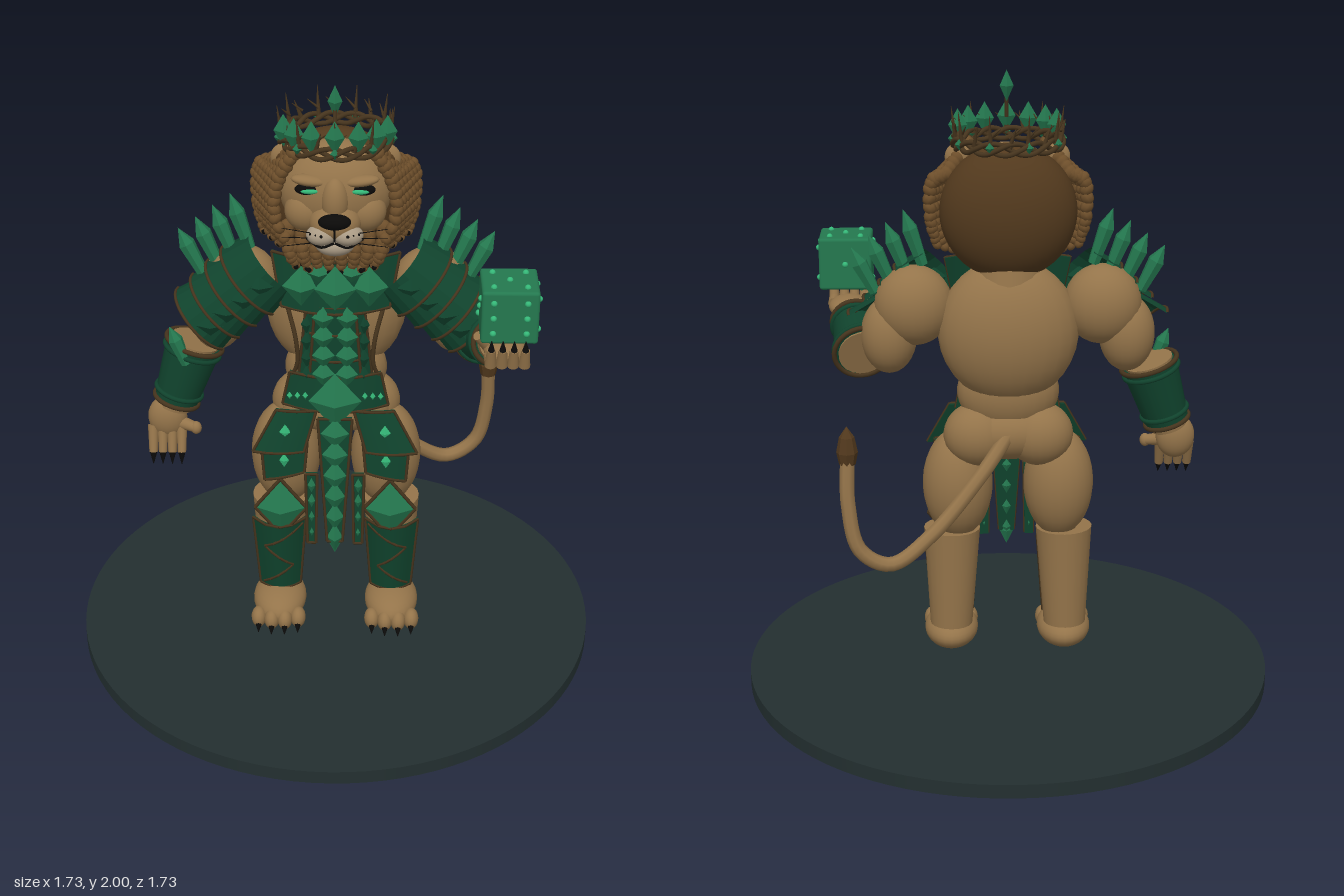
import * as THREE from 'three';
import { mergeGeometries } from 'three/addons/utils/BufferGeometryUtils.js';
import { RoundedBoxGeometry } from 'three/addons/geometries/RoundedBoxGeometry.js';

const V = (x, y, z) => new THREE.Vector3(x, y, z);
const UP = V(0, 1, 0);

export function createModel() {
  const model = new THREE.Group();
  model.name = 'armouredLion';
  const paint = (name, hex, side = THREE.FrontSide) => {
    const m = new THREE.MeshStandardMaterial({ color: hex, side });
    m.name = name;
    return m;
  };
  const fur = paint('tawnyFur', 0x94744a), mane = paint('maneBrown', 0x52391d), braid = paint('braidBrown', 0x6e4f2b);
  const green = paint('armourGreen', 0x10432d, THREE.DoubleSide), crystal = paint('crystalGreen', 0x24784f);
  const bronze = paint('bronze', 0x46341d), black = paint('black', 0x0b0a09), cream = paint('cream', 0xa99a84);
  const stone = paint('slate', 0x232f30), glow = paint('eyeGreen', 0x35b878);

  // ---- helpers ----
  const add = (name, geo, mat, parent = model) => {
    const m = new THREE.Mesh(geo, mat);
    m.name = name;
    parent.add(m);
    return m;
  };
  const flat = (g) => { const n = g.index ? g.toNonIndexed() : g; n.computeVertexNormals(); return n; };
  const along = (geo, a, b) => geo.applyQuaternion(new THREE.Quaternion().setFromUnitVectors(UP, b.clone().sub(a).normalize()));
  const ball = (name, mat, c, r, parent, seg = 24) => {
    const m = add(name, new THREE.SphereGeometry(1, seg, Math.ceil(seg * 0.7)), mat, parent);
    m.position.set(...c);
    m.scale.set(...r);
    return m;
  };
  const rodGeo = (a, b, ra, rb = ra, seg = 6) =>
    along(new THREE.CylinderGeometry(rb, ra, a.distanceTo(b), seg), a, b).translate((a.x + b.x) / 2, (a.y + b.y) / 2, (a.z + b.z) / 2);
  const rod = (name, mat, a, b, ra, rb, parent, seg = 20) => add(name, rodGeo(a, b, ra, rb, seg), mat, parent);
  const gem = (name, c, r, parent, mat = crystal) => {
    const m = add(name, new THREE.OctahedronGeometry(1), mat, parent);
    m.position.set(...c);
    m.scale.set(...r);
    return m;
  };
  const shard = (name, a, b, w, parent) => {
    const L = a.distanceTo(b);
    const pts = [[0, 0], [w * 0.7, 0], [w, L * 0.65], [0, L]].map((p) => new THREE.Vector2(...p));
    add(name, along(flat(new THREE.LatheGeometry(pts, 6)), a, b).translate(a.x, a.y, a.z), crystal, parent);
  };
  const tube = (name, mat, pts, r, parent, closed = false, seg = 48) =>
    add(name, new THREE.TubeGeometry(new THREE.CatmullRomCurve3(pts, closed), seg, r, 8, closed), mat, parent);
  // Bent plate with corners TL, TR, BR, BL, a bronze rim and inlaid lines given in uv
  const panel = (name, [tl, tr, br, bl], zTop, zBot, bend, parent, inlays = []) => {
    const L = THREE.MathUtils.lerp;
    const map = (u, v, dz) => {
      const x = L(L(bl[0], br[0], u), L(tl[0], tr[0], u), v), mid = (L(bl[0], tl[0], v) + L(br[0], tr[0], v)) / 2;
      return V(x, L(L(bl[1], br[1], u), L(tl[1], tr[1], u), v), L(zBot, zTop, v) + dz - bend * (x - mid) ** 2);
    };
    const g = new THREE.BoxGeometry(1, 1, 1, 8, 1, 1), p = g.attributes.position;
    for (let i = 0; i < p.count; i++) {
      const q = map(p.getX(i) + 0.5, p.getY(i) + 0.5, p.getZ(i) * 0.014);
      p.setXYZ(i, q.x, q.y, q.z);
    }
    g.computeVertexNormals();
    add(name, g, green, parent);
    const rods = [];
    for (const line of [[[0, 0], [1, 0], [1, 1], [0, 1], [0, 0]], ...inlays])
      for (let i = 1; i < line.length; i++)
        for (let k = 0; k < 4; k++) {
          const at = (t) => map(L(line[i - 1][0], line[i][0], t), L(line[i - 1][1], line[i][1], t), 0.007);
          rods.push(rodGeo(at(k / 4), at((k + 1) / 4), 0.005, 0.005, 5));
        }
    add(name + 'Trim', mergeGeometries(rods), bronze, parent);
  };
  const both = (name, build) => [1, -1].forEach((s) => {
    const g = new THREE.Group();
    g.name = (s > 0 ? 'left' : 'right') + name;
    g.scale.x = s;
    model.add(g);
    build(g);
  });

  // ---- base and body ----
  add('base', new THREE.CylinderGeometry(0.865, 0.865, 0.045, 96), stone).position.y = 0.0225;
  ball('chest', fur, [0, 1.2, -0.04], [0.225, 0.235, 0.14]);
  ball('waist', fur, [0, 0.99, -0.01], [0.165, 0.14, 0.105]);
  ball('pelvis', fur, [0, 0.86, -0.01], [0.19, 0.1, 0.115]);
  rod('neck', fur, V(0, 1.35, -0.02), V(0, 1.5, 0), 0.12, 0.11);

  // ---- legs with greaves ----
  both('Leg', (g) => {
    ball('buttock', fur, [0.1, 0.85, -0.035], [0.11, 0.105, 0.095], g);
    ball('thigh', fur, [0.165, 0.67, 0], [0.115, 0.185, 0.113], g);
    rod('shin', fur, V(0.19, 0.17, 0), V(0.185, 0.51, 0.01), 0.07, 0.093, g);
    ball('foot', fur, [0.19, 0.125, 0.065], [0.09, 0.062, 0.13], g);
    for (let i = 0; i < 4; i++) {
      const x = 0.125 + i * 0.044, z = 0.165 + (i % 3 ? 0.012 : 0);
      ball('toe', fur, [x, 0.11, z], [0.026, 0.036, 0.036], g, 14);
      rod('claw', black, V(x, 0.1, z + 0.025), V(x, 0.08, z + 0.05), 0.012, 0.001, g, 8);
    }
    panel('greave', [[0.1, 0.45], [0.275, 0.45], [0.255, 0.18], [0.12, 0.18]], 0.125, 0.09, 8, g,
      [[[0.05, 0.95], [0.8, 0.65], [0.2, 0.35], [0.9, 0.05]]]);
    gem('kneeGem', [0.18, 0.52, 0.115], [0.085, 0.105, 0.045], g);
    for (const [a, b] of [[[0.095, 0.52], [0.18, 0.63]], [[0.18, 0.63], [0.265, 0.52]], [[0.265, 0.52], [0.18, 0.41]], [[0.18, 0.41], [0.095, 0.52]]])
      rod('kneeRim', bronze, V(...a, 0.115), V(...b, 0.115), 0.006, 0.006, g, 6);
    // hip plates
    panel('lowerTasset', [[0.09, 0.78], [0.24, 0.78], [0.23, 0.64], [0.1, 0.67]], 0.13, 0.135, 2, g);
    panel('upperTasset', [[0.06, 0.9], [0.19, 0.9], [0.265, 0.76], [0.1, 0.76]], 0.13, 0.16, 2, g);
    gem('tassetInlay', [0.16, 0.83, 0.15], [0.02, 0.03, 0.008], g, glow);
    gem('tassetInlay', [0.165, 0.72, 0.142], [0.016, 0.026, 0.008], g, glow);
    panel('sideStrip', [[0.057, 0.68], [0.095, 0.68], [0.09, 0.42], [0.062, 0.42]], 0.155, 0.165, 0, g);
    for (let i = 0; i < 4; i++) gem('stripStud', [0.076, 0.64 - i * 0.06, 0.165], [0.013, 0.028, 0.012], g);
  });

  // ---- breastplate, belt and tabard ----
  panel('breastplate', [[-0.2, 1.42], [0.2, 1.42], [0.17, 1.25], [-0.17, 1.25]], 0.11, 0.13, 2, model);
  panel('abdomenPlate', [[-0.09, 1.27], [0.09, 1.27], [0.12, 0.98], [-0.12, 0.98]], 0.125, 0.115, 3, model,
    [[[0.15, 0.95], [0.15, 0.05]], [[0.85, 0.95], [0.85, 0.05]], [[0.1, 0.33], [0.9, 0.33]], [[0.1, 0.66], [0.9, 0.66]]]);
  panel('belt', [[-0.145, 1.02], [0.145, 1.02], [0.17, 0.9], [-0.17, 0.9]], 0.125, 0.135, 2, model);
  gem('chestGem', [0, 1.335, 0.13], [0.065, 0.08, 0.045]);
  gem('beltGem', [0, 0.945, 0.145], [0.085, 0.1, 0.045]);
  both('TorsoArmour', (g) => {
    gem('breastGem', [0.105, 1.335, 0.11], [0.06, 0.07, 0.045], g);
    gem('cornerGem', [0.05, 1.385, 0.115], [0.04, 0.035, 0.03], g);
    for (let i = 0; i < 4; i++) {
      gem('abdomenFacet', [0.037, 1.235 - i * 0.067, 0.128], [0.036, 0.045, 0.03], g);
      gem('ribFacet', [0.09, 1.2 - i * 0.06, 0.105], [0.018, 0.036, 0.015], g, green);
    }
    for (let i = 0; i < 3; i++) gem('beltStud', [0.095 + i * 0.025, 0.955, 0.128], [0.009, 0.014, 0.015], g, glow);
    tube('harness', bronze, [V(0.15, 1.25, 0.08), V(0.125, 1.15, 0.105), V(0.12, 1.06, 0.1), V(0.14, 1, 0.085)], 0.007, g, false, 12);
  });
  panel('tabard', [[-0.055, 0.88], [0.055, 0.88], [0.025, 0.43], [-0.025, 0.43]], 0.14, 0.17, 0, model);
  for (let i = 0; i < 6; i++) gem('tabardGem', [0, 0.83 - i * 0.077, 0.155 + i * 0.004], [0.046 - i * 0.004, 0.055, 0.028]);
  gem('tabardTip', [0, 0.43, 0.17], [0.024, 0.05, 0.018]);

  // ---- shoulders with layered plates and crystals ----
  both('Shoulder', (g) => {
    ball('deltoid', fur, [0.3, 1.28, -0.02], [0.125, 0.13, 0.1], g);
    ball('upperArm', fur, [0.38, 1.18, -0.01], [0.09, 0.125, 0.09], g);
    const dir = V(0.75, -0.66, 0).normalize();
    for (let i = 0; i < 4; i++) {
      const c = V(0.235 + i * 0.052, 1.335 - i * 0.046, 0), r = 0.122 - i * 0.004;
      const arc = (h, rt, rb) => along(new THREE.CylinderGeometry(rt, rb, h, 10, 1, true, -1.9, 2.9), V(0, 0, 0), dir);
      add('pauldronPlate', flat(arc(0.1, r + 0.012, r - 0.008)).translate(c.x, c.y, c.z), green, g);
      const e = c.clone().addScaledVector(dir, 0.05);
      const rim = Array.from({ length: 11 }, (_, k) => {
        const t = -1.9 + k * 0.29, q = Math.sin(t) * (r + 0.012);
        return V(e.x - q * 0.66, e.y - q * 0.75, Math.cos(t) * (r + 0.012));
      });
      tube('pauldronRim', bronze, rim, 0.005, g, false, 20);
      gem('pauldronFacet', [c.x, c.y, 0.118], [0.045, 0.035, 0.02], g, green);
    }
    for (let i = 0; i < 4; i++)
      shard('shoulderCrystal', V(0.27 + i * 0.05, 1.41 - i * 0.03, -0.01), V(0.33 + i * 0.055, 1.59 - i * 0.04, -0.02), 0.027, g);
  });

  // ---- forearms ----
  const vambrace = (name, a, b) => {
    const g = new THREE.Group();
    g.name = name;
    model.add(g);
    const d = b.clone().sub(a);
    rod('forearm', fur, a.clone().addScaledVector(d, -0.04), b.clone().addScaledVector(d, 0.12), 0.08, 0.058, g);
    rod('cuff', green, a, b, 0.092, 0.072, g, 16);
    for (const t of [0, 0.12, 0.85, 1]) {
      const ring = along(new THREE.TorusGeometry(0.093 - t * 0.02, 0.008, 8, 28).rotateX(Math.PI / 2), a, b);
      const p = a.clone().addScaledVector(d, t);
      add('cuffRing', ring.translate(p.x, p.y, p.z), t % 1 ? green : bronze, g);
    }
  };
  vambrace('rightVambrace', V(-0.455, 1.075, 0), V(-0.52, 0.875, 0.015));
  vambrace('leftVambrace', V(0.465, 1.12, 0), V(0.5, 1.18, 0.17));
  shard('cuffCrystal', V(-0.475, 1.04, 0.08), V(-0.525, 1.17, 0.075), 0.024);

  // ---- hands and the cube ----
  ball('rightPalm', fur, [-0.55, 0.815, 0.03], [0.064, 0.075, 0.045]);
  rod('rightThumb', fur, V(-0.51, 0.8, 0.04), V(-0.455, 0.79, 0.06), 0.022, 0.017);
  ball('rightThumbTip', fur, [-0.455, 0.79, 0.06], [0.018, 0.022, 0.018]);
  ball('leftPalm', fur, [0.52, 1.205, 0.25], [0.066, 0.035, 0.09]);
  rod('leftThumb', fur, V(0.47, 1.21, 0.25), V(0.435, 1.26, 0.28), 0.02, 0.015);
  for (let i = 0; i < 4; i++) {
    const x = -0.597 + i * 0.031, k = 0.472 + i * 0.034;
    rod('rightFinger', fur, V(x, 0.79, 0.045), V(x, 0.705, 0.075), 0.018, 0.014, model, 12);
    rod('rightClaw', black, V(x, 0.708, 0.075), V(x, 0.668, 0.09), 0.013, 0.001, model, 8);
    rod('leftFinger', fur, V(k, 1.2, 0.3), V(k, 1.205, 0.355), 0.018, 0.017, model, 12);
    rod('leftFingerTip', fur, V(k, 1.2, 0.355), V(k, 1.26, 0.372), 0.018, 0.013, model, 12);
    rod('leftClaw', black, V(k, 1.255, 0.372), V(k, 1.29, 0.37), 0.012, 0.001, model, 8);
  }
  const cube = new THREE.Group();
  cube.name = 'crystalCube';
  cube.position.set(0.525, 1.36, 0.275);
  model.add(cube);
  add('cubeBody', new RoundedBoxGeometry(0.172, 0.172, 0.172, 3, 0.01), crystal, cube);
  const spots = { 1: [[0, 0]], 2: [[-1, -1], [1, 1]], 4: [[-1, -1], [1, 1], [-1, 1], [1, -1]] };
  spots[5] = [...spots[4], ...spots[1]];
  spots[3] = [...spots[2], ...spots[1]];
  spots[6] = [...spots[4], [-1, 0], [1, 0]];
  const faces = [[6, (a, b) => [a, b, 0.086]], [1, (a, b) => [a, b, -0.086]], [4, (a, b) => [0.086, a, b]],
    [3, (a, b) => [-0.086, a, b]], [5, (a, b) => [a, 0.086, b]], [2, (a, b) => [a, -0.086, b]]];
  for (const [n, at] of faces) for (const [a, b] of spots[n]) ball('stud', glow, at(a * 0.05, b * 0.05), [0.01, 0.01, 0.01], cube, 10);

  // ---- tail ----
  tube('tail', fur, [V(0, 0.87, -0.1), V(0.1, 0.74, -0.16), V(0.25, 0.575, -0.22), V(0.38, 0.495, -0.265),
    V(0.475, 0.55, -0.28), V(0.51, 0.7, -0.27), V(0.51, 0.86, -0.25)], 0.024);
  const tuft = [[0, 0], [0.026, 0], [0.034, 0.04], [0.024, 0.09], [0, 0.125]].map((p) => new THREE.Vector2(...p));
  add('tailTuft', flat(new THREE.LatheGeometry(tuft, 8)), mane).position.set(0.51, 0.83, -0.25);

  // ---- head ----
  ball('maneBack', mane, [0, 1.585, -0.045], [0.215, 0.215, 0.137], model, 36);
  ball('head', fur, [0, 1.635, 0.03], [0.175, 0.155, 0.125]);
  ball('muzzle', fur, [0, 1.565, 0.13], [0.08, 0.06, 0.07]);
  ball('noseBridge', fur, [0, 1.635, 0.135], [0.042, 0.075, 0.045]);
  ball('nose', black, [0, 1.588, 0.185], [0.05, 0.024, 0.028]);
  ball('chin', cream, [0, 1.497, 0.145], [0.06, 0.035, 0.045]);
  rod('lipLine', black, V(0, 1.575, 0.203), V(0, 1.53, 0.2), 0.004, 0.004, model, 6);
  both('Face', (g) => {
    ball('ear', fur, [0.155, 1.74, 0.05], [0.042, 0.045, 0.022], g);
    ball('innerEar', mane, [0.155, 1.738, 0.064], [0.026, 0.028, 0.012], g);
    ball('cheek', fur, [0.09, 1.585, 0.09], [0.065, 0.065, 0.055], g);
    ball('lip', cream, [0.04, 1.537, 0.165], [0.047, 0.032, 0.04], g);
    tube('mouth', black, [V(0, 1.527, 0.203), V(0.04, 1.51, 0.198), V(0.085, 1.52, 0.155)], 0.004, g, false, 12);
    ball('eyeLine', black, [0.078, 1.67, 0.128], [0.044, 0.019, 0.018], g);
    ball('eye', glow, [0.076, 1.668, 0.14], [0.028, 0.009, 0.01], g);
    ball('brow', fur, [0.078, 1.697, 0.125], [0.055, 0.017, 0.026], g).rotation.z = 0.12;
    for (let i = 0; i < 3; i++) {
      rod('whisker', black, V(0.06, 1.55 - i * 0.015, 0.185), V(0.16, 1.56 - i * 0.03, 0.17), 0.002, 0.001, g, 5);
      ball('whiskerSpot', black, [0.04 + i * 0.016, 1.548, 0.203 - i * 0.008], [0.005, 0.005, 0.005], g, 8);
    }
  });

  // ---- braided mane ----
  const strand = (pts, r, n, parent) => {
    const curve = new THREE.CatmullRomCurve3(pts), beads = [];
    for (let i = 0; i <= n; i++) {
      const p = curve.getPoint(i / n), s = r * (1 - 0.35 * (i / n) ** 3);
      beads.push(new THREE.SphereGeometry(1, 8, 6).scale(s, s * 1.15, s).rotateZ(i % 2 ? 0.6 : -0.6).translate(p.x, p.y, p.z));
    }
    add('braid', mergeGeometries(beads), braid, parent);
    const tip = curve.getPoint(1);
    ball('braidBead', black, [tip.x, tip.y, tip.z + 0.012], [0.008, 0.008, 0.008], parent, 8);
  };
  both('Mane', (g) => {
    for (let i = 0; i < 7; i++)
      strand([V(0.125 + i * 0.011, 1.775 - i * 0.012, 0.105 - i * 0.022), V(0.175 + i * 0.01, 1.68, 0.105 - i * 0.023),
        V(0.18 + i * 0.0105, 1.56, 0.115 - i * 0.023), V(0.08 + i * 0.024, 1.4 + i * 0.012, 0.115 - i * 0.02)], 0.022, 14, g);
    for (let i = 0; i < 4; i++)
      strand([V(0.02 + i * 0.042, 1.53, 0.09), V(0.02 + i * 0.04, 1.46, 0.12), V(0.018 + i * 0.034, 1.39 + i * 0.006, 0.11)], 0.021, 7, g);
  });

  // ---- crown of twisted branches ----
  const onRing = (t, y, k = 1) => V(Math.sin(t) * 0.165 * k, y, 0.012 + Math.cos(t) * 0.15 * k);
  for (let b = 0; b < 3; b++)
    tube('crownBranch', bronze, Array.from({ length: 30 }, (_, i) => {
      const t = (i / 30) * Math.PI * 2, w = t * 5 + b * 2.1;
      return onRing(t, 1.795 + Math.sin(w) * 0.018, 1 + Math.cos(w) * 0.05);
    }), 0.008, model, true, 120);
  for (let i = 0; i < 18; i++) {
    const t = (i / 18) * Math.PI * 2, h = i % 2 ? 0.065 : 0.1;
    rod('crownThorn', bronze, onRing(t, 1.8), onRing(t + (i % 2 ? 0.12 : 0), 1.8 + h, 1.08), 0.009, 0.001, model, 6);
    rod('crownTwig', bronze, onRing(t, 1.83), onRing(t + 0.2, 1.86, 1.06), 0.005, 0.001, model, 5);
    if (i % 2 === 0) gem('crownStud', onRing(t, 1.8, 1.06).toArray(), [0.014, 0.018, 0.014]);
  }
  for (const t of [-1.15, -0.8, -0.42, 0, 0.42, 0.8, 1.15])
    gem('crownGem', onRing(t, 1.85 - Math.abs(t) * 0.012, 1.03).toArray(), [0.03, 0.052, 0.022]);
  rod('crownStem', bronze, V(0, 1.85, 0.15), V(0, 1.94, 0.13), 0.008, 0.006, model, 6);
  gem('crownTopGem', [0, 1.95, 0.13], [0.022, 0.05, 0.022]);
  return model;
}
